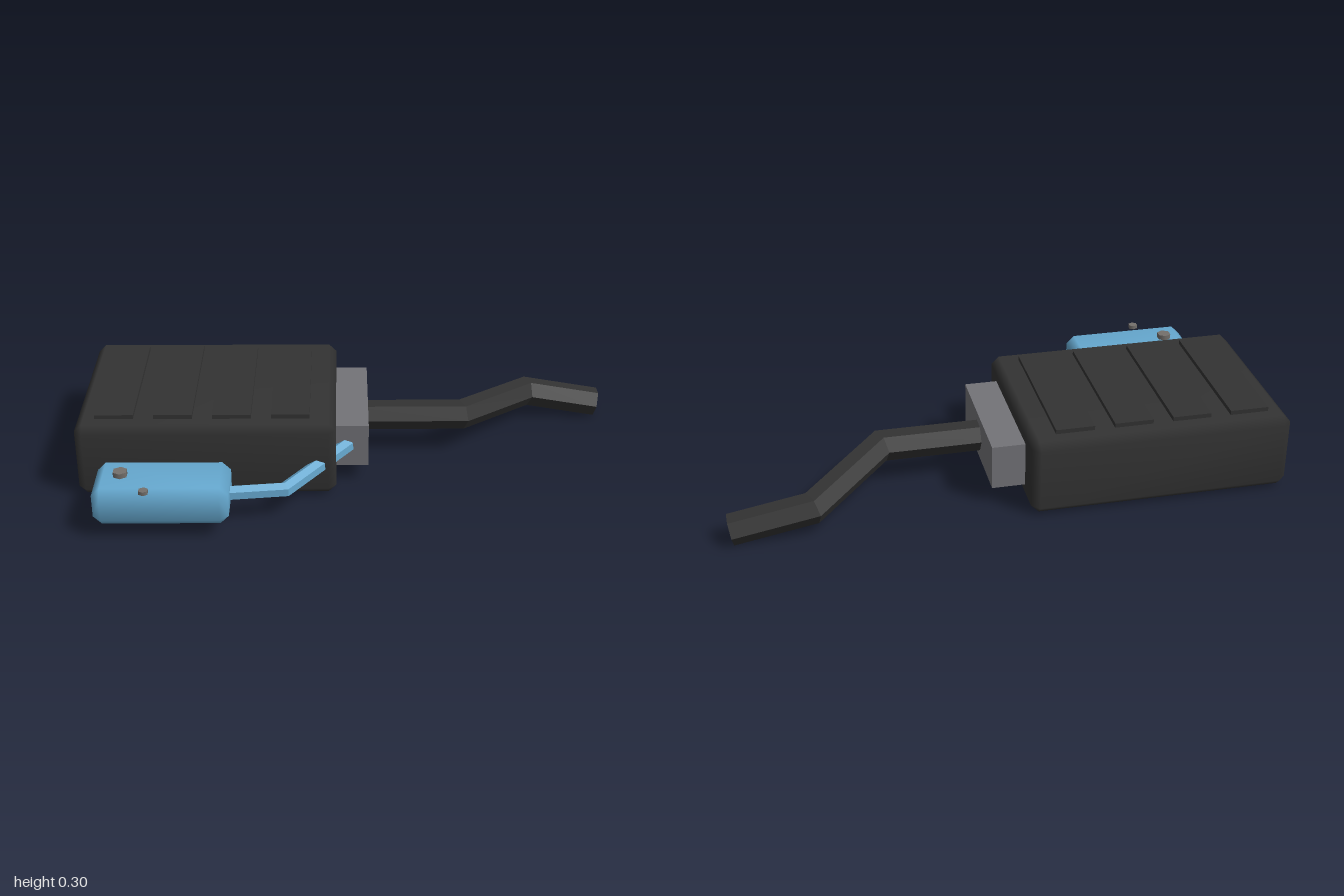
import * as THREE from 'three';
import { mergeVertices } from 'three/addons/utils/BufferGeometryUtils.js';
import { ConvexGeometry } from 'three/addons/geometries/ConvexGeometry.js';

const mat = (name, color) => {
  const m = new THREE.MeshStandardMaterial({ color });
  m.name = name;
  return m;
};

// Box with chamfered edges and soft shared normals
function chamferBox(w, h, d, c) {
  const pts = [];
  for (const x of [-w / 2, w / 2]) for (const y of [-h / 2, h / 2]) for (const z of [-d / 2, d / 2]) {
    const ix = x - Math.sign(x) * c, iy = y - Math.sign(y) * c, iz = z - Math.sign(z) * c;
    pts.push(new THREE.Vector3(x, iy, iz), new THREE.Vector3(ix, y, iz), new THREE.Vector3(ix, iy, z));
  }
  let g = new ConvexGeometry(pts);
  g.deleteAttribute('normal');
  g = mergeVertices(g, 1e-4);
  g.computeVertexNormals();
  return g;
}

// Faceted six-sided pipe with mitred bends, starting along +x
function mitredPipe(points, radius, turn) {
  const P = points.map(p => new THREE.Vector3(...p));
  const dirs = P.slice(1).map((p, i) => p.clone().sub(P[i]).normalize());
  const N = 6;
  const rings = [[]];
  for (let k = 0; k < N; k++) {
    const a = turn + k * Math.PI * 2 / N;
    rings[0].push(new THREE.Vector3(0, Math.cos(a) * radius, Math.sin(a) * radius).add(P[0]));
  }
  for (let i = 1; i < P.length; i++) {
    const d = dirs[i - 1];
    const n = d.clone().add(dirs[i] || d);
    rings.push(rings[i - 1].map(v => {
      const t = P[i].clone().sub(v).dot(n) / d.dot(n);
      return v.clone().addScaledVector(d, t);
    }));
  }
  const tris = [];
  const last = P.length - 1;
  for (let k = 0; k < N; k++) {
    const j = (k + 1) % N;
    for (let i = 0; i < last; i++) {
      const [a, b, c, d] = [rings[i][k], rings[i][j], rings[i + 1][k], rings[i + 1][j]];
      tris.push(a, b, d, a, d, c);
    }
    tris.push(P[0], rings[0][j], rings[0][k]);
    tris.push(P[last], rings[last][k], rings[last][j]);
  }
  const g = new THREE.BufferGeometry().setFromPoints(tris);
  g.computeVertexNormals();
  return g;
}

export function createModel() {
  const group = new THREE.Group();
  const dark = mat('dark casing', 0x333333);
  const grey = mat('grey metal', 0x737378);
  const blue = mat('blue paint', 0x66a9d0);
  const capGrey = mat('cap grey', 0x74706c);

  const add = (name, geometry, material, x = 0, y = 0, z = 0) => {
    const m = new THREE.Mesh(geometry, material);
    m.name = name;
    m.position.set(x, y, z);
    group.add(m);
  };

  // Main casing with raised ribs on top
  add('casing', chamferBox(0.945, 0.283, 0.71, 0.028), dark, -0.5275, 0.1465, -0.155);
  for (let i = 0; i < 4; i++) {
    add('rib' + (i + 1), new THREE.BoxGeometry(0.14, 0.03, 0.57), dark, -0.86 + i * 0.213, 0.289, -0.155);
  }

  // Connector block and outlet pipe
  add('connectorBlock', new THREE.BoxGeometry(0.13, 0.166, 0.475), grey, 0, 0.148, -0.153);
  add('outletPipe', mitredPipe([
    [0, 0.148, -0.155], [0.425, 0.148, -0.155], [0.705, 0.1, -0.4375], [0.988, 0.051, -0.4375],
  ], 0.056, Math.PI / 6), dark);

  // Side canister with its feed pipe and caps
  add('canister', chamferBox(0.475, 0.143, 0.237, 0.03), blue, -0.6675, 0.1235, 0.3705);
  add('feedPipe', mitredPipe([
    [-0.46, 0.117, 0.367], [-0.237, 0.105, 0.322], [-0.01, 0.146, 0.07],
  ], 0.028, 0), blue);
  add('fillerCap', new THREE.CylinderGeometry(0.027, 0.027, 0.03, 6), capGrey, -0.812, 0.199, 0.37);
  add('smallCap', new THREE.CylinderGeometry(0.018, 0.018, 0.014, 6), capGrey, -0.718, 0.2, 0.488);

  return group;
}
